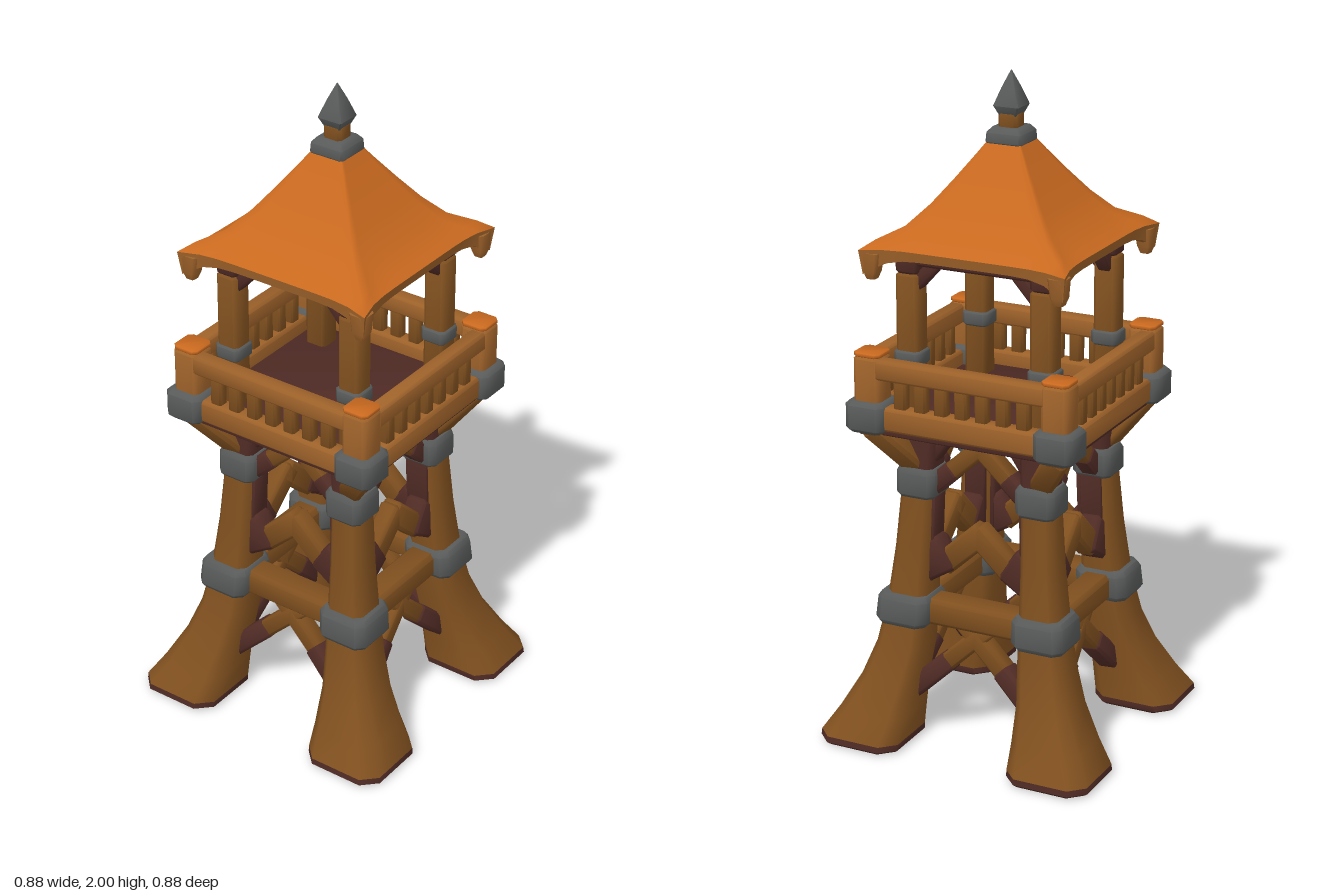
import * as THREE from 'three';
import { toCreasedNormals } from 'three/addons/utils/BufferGeometryUtils.js';

const V = (x, y, z) => new THREE.Vector3(x, y, z);

function material(name, color) {
  const m = new THREE.MeshStandardMaterial({ color });
  m.name = name;
  return m;
}

// Skins a stack of rings (each counter-clockwise seen from above), bottom to top
function loft(rings, crease = 0.9, caps = true) {
  const pos = [];
  const tri = (...pts) => pts.forEach((p) => pos.push(p.x, p.y, p.z));
  const n = rings[0].length;
  for (let r = 0; r < rings.length - 1; r++) {
    for (let i = 0; i < n; i++) {
      const j = (i + 1) % n, lo = rings[r], hi = rings[r + 1];
      tri(lo[i], lo[j], hi[j]);
      tri(lo[i], hi[j], hi[i]);
    }
  }
  if (caps) {
    const lo = rings[0], hi = rings[rings.length - 1];
    for (let i = 1; i < n - 1; i++) {
      tri(lo[0], lo[i + 1], lo[i]);
      tri(hi[0], hi[i], hi[i + 1]);
    }
  }
  const g = new THREE.BufferGeometry();
  g.setAttribute('position', new THREE.Float32BufferAttribute(pos, 3));
  return toCreasedNormals(g, crease);
}

// Chamfered post; rows are [y, centreX, centreZ, halfX, halfZ]
function post(rows, chamfer = 0.3) {
  return loft(rows.map(([y, cx, cz, hx, hz = hx]) => {
    const c = Math.min(hx, hz) * chamfer, a = hx - c, b = hz - c;
    return [[hx, b], [hx, -b], [a, -hz], [-a, -hz], [-hx, -b], [-hx, b], [-a, hz], [a, hz]]
      .map(([x, z]) => V(cx + x, y, cz + z));
  }));
}

// Block with softened ends, standing on y = 0
function block(hx, h, hz = hx, chamfer = 0.3) {
  const e = Math.min(hx, hz, h / 2) * 0.25;
  return post([[0, 0, 0, hx - e, hz - e], [e, 0, 0, hx, hz], [h - e, 0, 0, hx, hz], [h, 0, 0, hx - e, hz - e]], chamfer);
}

// Square roof ring whose corners flare outwards and droop
function roofRing(half, y, flare = 0, droop = 0) {
  const pts = [], n = 12;
  for (let k = 0; k < 4; k++) {
    for (let i = 0; i < n; i++) {
      const u = 1 - (2 * i) / n, bend = Math.pow(Math.abs(u), 7);
      const s = half + flare * bend;
      pts.push(V(s, y - droop * bend, s * u).applyAxisAngle(V(0, 1, 0), (k * Math.PI) / 2));
    }
  }
  return pts;
}

export function createModel() {
  const model = new THREE.Group();
  model.name = 'watchtower';
  const wood = material('brown wood', 0x80501f);
  const rail = material('light wood', 0x9e622a);
  const dark = material('dark wood', 0x502b25);
  const iron = material('grey iron', 0x585b5a);
  const orange = material('orange roof', 0xc9691f);

  const add = (parent, name, geo, mat, x = 0, y = 0, z = 0) => {
    const m = new THREE.Mesh(geo, mat);
    m.name = name;
    m.position.set(x, y, z);
    parent.add(m);
  };
  const beam = (parent, name, a, b, w, d, mat) => {
    const dir = b.clone().sub(a);
    add(parent, name, block(w, dir.length(), d), mat, a.x, a.y, a.z);
    parent.children.at(-1).quaternion.setFromUnitVectors(V(0, 1, 0), dir.normalize());
  };

  // Four corners: flared leg, iron bands, balcony post, roof post and eave tip
  for (const sx of [1, -1]) {
    for (const sz of [1, -1]) {
      const corner = new THREE.Group();
      corner.name = 'corner';
      model.add(corner);
      const rows = (list) => list.map(([y, c, h]) => [y, c * sx, c * sz, h]);
      add(corner, 'footSole', post(rows([[0, 0.31, 0.118], [0.01, 0.31, 0.13], [0.028, 0.309, 0.129]]), 0.34), dark);
      add(corner, 'leg', post(rows([[0.028, 0.309, 0.129], [0.1, 0.285, 0.108], [0.2, 0.256, 0.085],
        [0.3, 0.232, 0.074], [0.42, 0.217, 0.065], [0.6, 0.205, 0.055], [0.82, 0.193, 0.049]]), 0.34), wood);
      add(corner, 'legTop', post(rows([[0.82, 0.193, 0.049], [0.98, 0.184, 0.049]])), dark);
      add(corner, 'lowerBand', post(rows([[0.365, 0.224, 0.074], [0.38, 0.224, 0.084], [0.445, 0.22, 0.082], [0.46, 0.22, 0.072]])), iron);
      add(corner, 'upperBand', post(rows([[0.76, 0.194, 0.055], [0.77, 0.194, 0.063], [0.835, 0.193, 0.063], [0.85, 0.193, 0.055]])), iron);
      add(corner, 'balconyPost', block(0.043, 0.24), rail, sx * 0.298, 0.965, sz * 0.298);
      add(corner, 'balconyPostTop', block(0.042, 0.012), orange, sx * 0.298, 1.202, sz * 0.298);
      add(corner, 'balconyBand', block(0.062, 0.094), iron, sx * 0.3, 0.976, sz * 0.3);
      add(corner, 'roofPost', block(0.036, 0.46), wood, sx * 0.213, 0.98, sz * 0.213);
      add(corner, 'roofPostTop', block(0.036, 0.08), dark, sx * 0.213, 1.435, sz * 0.213);
      add(corner, 'roofPostBand', block(0.042, 0.045), iron, sx * 0.213, 1.163, sz * 0.213);
      beam(corner, 'outrigger', V(sx * 0.2, 0.85, sz * 0.2), V(sx * 0.3, 0.99, sz * 0.3), 0.035, 0.035, wood);
      add(corner, 'eaveTip', post(rows([[1.428, 0.294, 0.014], [1.45, 0.294, 0.022], [1.505, 0.291, 0.027]])), rail);
    }
  }

  // Four identical sides
  for (let k = 0; k < 4; k++) {
    const side = new THREE.Group();
    side.name = 'side';
    side.rotation.y = (k * Math.PI) / 2;
    model.add(side);
    beam(side, 'crossBeam', V(-0.18, 0.41, 0.215), V(0.18, 0.41, 0.215), 0.041, 0.045, wood);
    for (const s of [1, -1]) {
      // Crossing braces with dark lower ends
      beam(side, 'lowerBrace', V(s * 0.11, 0.235, 0.225), V(-s * 0.05, 0.39, 0.215), 0.027, 0.03, wood);
      beam(side, 'lowerBraceEnd', V(s * 0.23, 0.122, 0.245), V(s * 0.085, 0.26, 0.224), 0.03, 0.034, dark);
      beam(side, 'middleBrace', V(s * 0.12, 0.55, 0.2), V(-s * 0.015, 0.675, 0.198), 0.036, 0.03, wood);
      beam(side, 'middleBraceEnd', V(s * 0.2, 0.535, 0.205), V(s * 0.1, 0.597, 0.2), 0.057, 0.036, dark);
      beam(side, 'legLining', V(s * 0.153, 0.5, 0.2), V(s * 0.144, 0.77, 0.193), 0.008, 0.034, dark);
      beam(side, 'upperBrace', V(s * 0.11, 0.83, 0.192), V(-s * 0.06, 0.985, 0.19), 0.027, 0.026, wood);
      beam(side, 'upperBraceEnd', V(s * 0.19, 0.757, 0.193), V(s * 0.085, 0.853, 0.192), 0.029, 0.03, dark);
      beam(side, 'upperKnee', V(s * 0.16, 0.88, 0.19), V(s * 0.09, 0.985, 0.19), 0.024, 0.026, dark);
      beam(side, 'roofKnee', V(s * 0.2, 1.395, 0.213), V(s * 0.115, 1.49, 0.213), 0.019, 0.022, dark);
    }
    // Balcony rails and balusters
    beam(side, 'bottomRail', V(-0.26, 1.022, 0.312), V(0.26, 1.022, 0.312), 0.036, 0.028, rail);
    beam(side, 'topRail', V(-0.27, 1.168, 0.315), V(0.27, 1.168, 0.315), 0.03, 0.025, rail);
    for (let i = -3; i <= 3; i++) {
      add(side, 'baluster', block(0.019, 0.12, 0.017), wood, i * 0.065, 1.04, 0.312);
    }
    beam(side, 'roofBeam', V(-0.22, 1.485, 0.213), V(0.22, 1.485, 0.213), 0.022, 0.03, dark);
  }
  add(model, 'floor', block(0.29, 0.035, 0.29, 0.1), dark, 0, 0.978);
  add(model, 'floorUnderside', block(0.322, 0.028, 0.322, 0.2), dark, 0, 0.968);

  // Concave roof with a thick eave and an open underside
  const eaveTop = roofRing(0.299, 1.52, 0.024, 0.006);
  const eaveBottom = roofRing(0.294, 1.492, 0.02, 0.05);
  const eaveInner = roofRing(0.272, 1.495, 0.01, 0.035);
  add(model, 'roof', loft([eaveTop, roofRing(0.27, 1.537, 0.016, -0.004), roofRing(0.22, 1.573, 0.004), roofRing(0.17, 1.632),
    roofRing(0.12, 1.7), roofRing(0.075, 1.765), roofRing(0.045, 1.81)], 1.6, false), orange);
  add(model, 'eave', loft([eaveInner, eaveBottom, eaveTop], 0.6, false), rail);
  add(model, 'roofUnderside', loft([roofRing(0.004, 1.75), roofRing(0.12, 1.65), roofRing(0.2, 1.56), eaveInner], 0.9, false), wood);

  // Finial
  add(model, 'finialCollar', post([[1.788, 0, 0, 0.05], [1.798, 0, 0, 0.057], [1.825, 0, 0, 0.055], [1.84, 0, 0, 0.042]], 0.12), iron);
  add(model, 'finialNeck', block(0.03, 0.06), wood, 0, 1.825);
  add(model, 'finialSpike', post([[1.868, 0, 0, 0.025], [1.9, 0, 0, 0.04], [1.95, 0, 0, 0.022], [2, 0, 0, 0.001]], 0.1), iron);
  return model;
}
